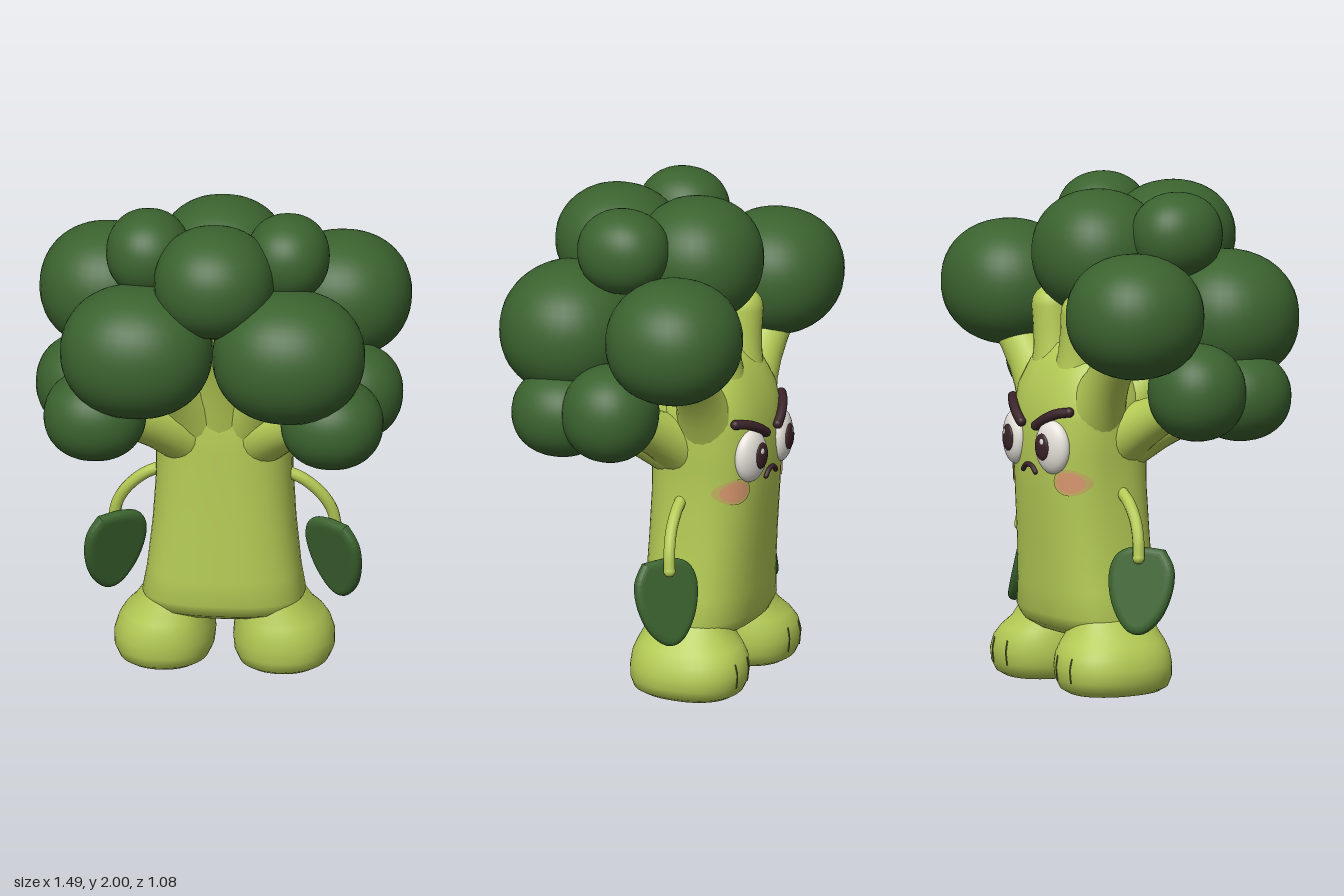
import * as THREE from 'three';
import { mergeVertices } from 'three/addons/utils/BufferGeometryUtils.js';

const mat = (name, color, side = THREE.FrontSide) => {
  const m = new THREE.MeshStandardMaterial({ color, side });
  m.name = name;
  return m;
};

// Sections: y, half width, half depth, centre x, centre z
const TRUNK = [
  [0.215, 0.001, 0.001, 0, -0.21], [0.22, 0.25, 0.15, 0, -0.21], [0.25, 0.305, 0.2, 0, -0.205],
  [0.3, 0.325, 0.225, 0, -0.205], [0.4, 0.307, 0.225, 0, -0.208], [0.6, 0.285, 0.228, 0, -0.22],
  [0.8, 0.272, 0.232, 0, -0.232], [0.95, 0.274, 0.235, 0, -0.237], [1.1, 0.285, 0.228, 0, -0.235],
  [1.2, 0.275, 0.205, 0, -0.235], [1.3, 0.23, 0.165, 0, -0.23], [1.38, 0.15, 0.11, 0, -0.22],
  [1.41, 0.001, 0.001, 0, -0.21],
];
const FOOT = [
  [0, 0.001, 0.001, 0.24, -0.225], [0.002, 0.15, 0.19, 0.24, -0.225], [0.02, 0.18, 0.22, 0.24, -0.225],
  [0.06, 0.199, 0.236, 0.24, -0.228], [0.11, 0.202, 0.24, 0.238, -0.23], [0.16, 0.192, 0.233, 0.232, -0.228],
  [0.2, 0.177, 0.213, 0.222, -0.222], [0.24, 0.157, 0.185, 0.205, -0.212], [0.28, 0.14, 0.172, 0.195, -0.208],
  [0.4, 0.08, 0.12, 0.17, -0.21],
];
const POWER = 2.6, FOOT_POWER = 2.25;

// Smooth skin through stacked rounded sections
function loft(sections, power, sides = 48) {
  const pos = [], index = [];
  const bend = (v) => Math.sign(v) * Math.abs(v) ** (2 / power);
  sections.forEach(([y, rx, rz, cx, cz], i) => {
    for (let j = 0; j < sides; j++) {
      const t = (j / sides) * Math.PI * 2;
      pos.push(cx + rx * bend(Math.cos(t)), y, cz + rz * bend(Math.sin(t)));
      if (i === sections.length - 1) continue;
      const a = i * sides + j, b = i * sides + (j + 1) % sides;
      index.push(a, a + sides, b, b, a + sides, b + sides);
    }
  });
  const g = new THREE.BufferGeometry();
  g.setAttribute('position', new THREE.Float32BufferAttribute(pos, 3));
  g.setIndex(index);
  g.computeVertexNormals();
  return g;
}

// Depth of a lofted skin on its -z side
function skinZ(sections, power, x, y) {
  const i = Math.max(1, sections.findIndex((s) => s[0] >= y));
  const [a, b] = [sections[i - 1], sections[i]];
  const k = (y - a[0]) / (b[0] - a[0]);
  const [, rx, rz, cx, cz] = a.map((v, n) => v + (b[n] - v) * k);
  const u = Math.min(1, Math.abs((x - cx) / rx));
  return cz - rz * (1 - u ** power) ** (1 / power);
}

// Slightly boxy ball
function puff() {
  const g = new THREE.SphereGeometry(1, 36, 24);
  g.deleteAttribute('normal');
  g.deleteAttribute('uv');
  const p = g.attributes.position, e = 2.15;
  for (let i = 0; i < p.count; i++) {
    const v = new THREE.Vector3().fromBufferAttribute(p, i);
    const n = (Math.abs(v.x) ** e + Math.abs(v.y) ** e + Math.abs(v.z) ** e) ** (1 / e);
    p.setXYZ(i, v.x / n, v.y / n, v.z / n);
  }
  const out = mergeVertices(g, 1e-4);
  out.computeVertexNormals();
  return out;
}

export function createModel() {
  const root = new THREE.Group();
  root.name = 'broccoliFigure';
  const stem = mat('stem green', 0xb4cb55);
  const floret = mat('floret green', 0x3b632f);
  const white = mat('eye white', 0xe6e1da);
  const dark = mat('dark brown', 0x3a2329);
  const blush = mat('blush pink', 0xdb9a70, THREE.DoubleSide);
  const blushRim = mat('blush rim', 0xc6b161, THREE.DoubleSide);
  const crease = mat('crease green', 0x5c6a2c);

  const add = (name, geometry, material, parent = root) => {
    const m = new THREE.Mesh(geometry, material);
    m.name = name;
    parent.add(m);
    return m;
  };
  const ball = new THREE.SphereGeometry(1, 28, 20);
  const blob = (name, material, p, r, parent, geometry = ball) => {
    const m = add(name, geometry, material, parent);
    m.position.set(...p);
    m.scale.set(...r);
    return m;
  };
  // Round-ended tube through points
  const stroke = (name, pts, r, material) => {
    const g = new THREE.Group();
    g.name = name;
    root.add(g);
    const v = pts.map((p) => new THREE.Vector3(...p));
    add(name + 'Tube', new THREE.TubeGeometry(new THREE.CatmullRomCurve3(v), 20, r, 10), material, g);
    for (const p of [pts[0], pts[pts.length - 1]]) blob(name + 'End', material, p, [r, r, r], g);
  };
  // Tapered branch with a flared root and a round tip
  const branch = (from, to, r) => {
    const a = new THREE.Vector3(...from), d = new THREE.Vector3(...to).sub(a), h = d.length();
    const profile = [[r * 1.8, 0], [r * 1.5, h * 0.2], [r * 1.22, h * 0.4], [r * 1.06, h * 0.6], [r, h * 0.8], [r, h]];
    for (let i = 1; i <= 6; i++) {
      const t = (i / 6) * Math.PI / 2;
      profile.push([r * Math.cos(t), h + r * Math.sin(t)]);
    }
    const pts = profile.map((p) => new THREE.Vector2(Math.max(p[0], 0), p[1]));
    const m = add('branch', new THREE.LatheGeometry(pts, 24), stem);
    m.position.copy(a);
    m.quaternion.setFromUnitVectors(new THREE.Vector3(0, 1, 0), d.normalize());
  };

  add('trunk', loft(TRUNK, POWER), stem);

  // Crown
  const puffGeo = puff();
  const crown = new THREE.Group();
  crown.name = 'crown';
  root.add(crown);
  const floretAt = (p, r) => blob('floret', floret, p, r, crown, puffGeo);
  floretAt([0, 1.77, 0.2], [0.24, 0.22, 0.25]);
  floretAt([0, 1.735, -0.15], [0.265, 0.25, 0.26]);
  branch([0, 1.1, -0.17], [0, 1.6, 0.08], 0.1);

  for (const s of [1, -1]) {
    floretAt([s * 0.305, 1.485, 0.26], [0.305, 0.265, 0.28]);
    floretAt([s * 0.47, 1.555, -0.27], [0.275, 0.25, 0.27]);
    floretAt([s * 0.28, 1.828, 0.045], [0.167, 0.17, 0.185]);
    floretAt([s * 0.535, 1.235, -0.02], [0.2, 0.195, 0.19]);
    floretAt([s * 0.475, 1.19, 0.22], [0.205, 0.18, 0.2]);

    branch([s * 0.1, 1.05, -0.17], [s * 0.27, 1.42, 0.12], 0.095);
    branch([s * 0.13, 1.08, -0.27], [s * 0.4, 1.4, -0.3], 0.085);
    branch([s * 0.07, 1.12, -0.29], [s * 0.11, 1.52, -0.3], 0.08);
    branch([s * 0.13, 0.99, -0.18], [s * 0.5, 1.2, -0.04], 0.08);
    branch([s * 0.13, 0.99, -0.15], [s * 0.43, 1.17, 0.16], 0.08);

    // Foot with toe creases
    const foot = FOOT.map(([y, rx, rz, cx, cz]) => [y, rx, rz, s * cx, cz]);
    add('foot', loft(foot, FOOT_POWER), stem);
    for (const dx of [-0.05, 0.05]) {
      const x = s * 0.24 + dx;
      const pts = [0.06, 0.09, 0.12, 0.155].map((y) => [x, y, skinZ(foot, FOOT_POWER, x, y)]);
      stroke('toeCrease', pts, 0.0035, crease);
    }

    // Arm and leaf hand
    stroke('arm', [[s * 0.25, 0.81, -0.2], [s * 0.32, 0.775, -0.207], [s * 0.39, 0.71, -0.218],
      [s * 0.43, 0.64, -0.23], [s * 0.445, 0.57, -0.238]], 0.024, stem);
    const outline = [[-0.085, 0.155], [-0.125, 0.085], [-0.122, -0.01], [-0.085, -0.105], [-0.02, -0.165],
      [0.045, -0.15], [0.105, -0.055], [0.125, 0.06], [0.095, 0.135], [0.02, 0.16]]
      .map(([x, y]) => new THREE.Vector2(-s * x, y));
    const leaf = new THREE.Shape(new THREE.SplineCurve([...outline, outline[0]]).getPoints(40).slice(0, -1));
    const leafGeo = new THREE.ExtrudeGeometry(leaf, {
      depth: 0.01, bevelThickness: 0.02, bevelSize: 0.03, bevelOffset: -0.018, bevelSegments: 5,
    }).translate(0, 0, -0.005);
    const hand = add('leafHand', leafGeo, floret);
    hand.position.set(s * 0.442, 0.44, -0.228);
    hand.rotation.set(0.22, -s * 0.64, 0, 'YXZ');

    // Eye
    const eye = new THREE.Group();
    eye.name = 'eye';
    eye.position.set(s * 0.14, 0.993, -0.452);
    eye.rotation.y = -s * 0.25;
    root.add(eye);
    blob('eyeball', white, [0, 0, 0], [0.085, 0.108, 0.046], eye);
    blob('pupil', dark, [-s * 0.022, 0.003, -0.037], [0.043, 0.054, 0.015], eye).rotation.y = s * 0.15;
    blob('eyeGlint', white, [-s * 0.012, 0.026, -0.05], [0.011, 0.013, 0.004], eye);

    // Brow, low towards the middle
    const brow = [[0.055, 1.07], [0.105, 1.102], [0.16, 1.13], [0.212, 1.142]];
    stroke('brow', brow.map(([x, y]) => [s * x, y, skinZ(TRUNK, POWER, x, y) - 0.014]), 0.02, dark);

    // Cheek patch hugging the trunk, with a paler rim
    for (const [name, material, from, to] of [['cheek', blush, 0, 0.78], ['cheekRim', blushRim, 0.78, 1]]) {
      const patch = new THREE.RingGeometry(from, to, 28, 6).rotateY(Math.PI);
      const p = patch.attributes.position;
      for (let i = 0; i < p.count; i++) {
        const x = s * 0.205 + p.getX(i) * 0.057, y = 0.855 + p.getY(i) * 0.054;
        p.setXYZ(i, x * 1.01, y, skinZ(TRUNK, POWER, x, y) - 0.005);
      }
      patch.computeVertexNormals();
      add(name, patch, material);
    }
  }

  // Frowning mouth
  const mouth = [[-0.045, 0.88], [-0.025, 0.9], [0, 0.906], [0.025, 0.9], [0.045, 0.88]];
  stroke('mouth', mouth.map(([x, y]) => [x, y, skinZ(TRUNK, POWER, x, y) - 0.006]), 0.01, dark);

  return root;
}
